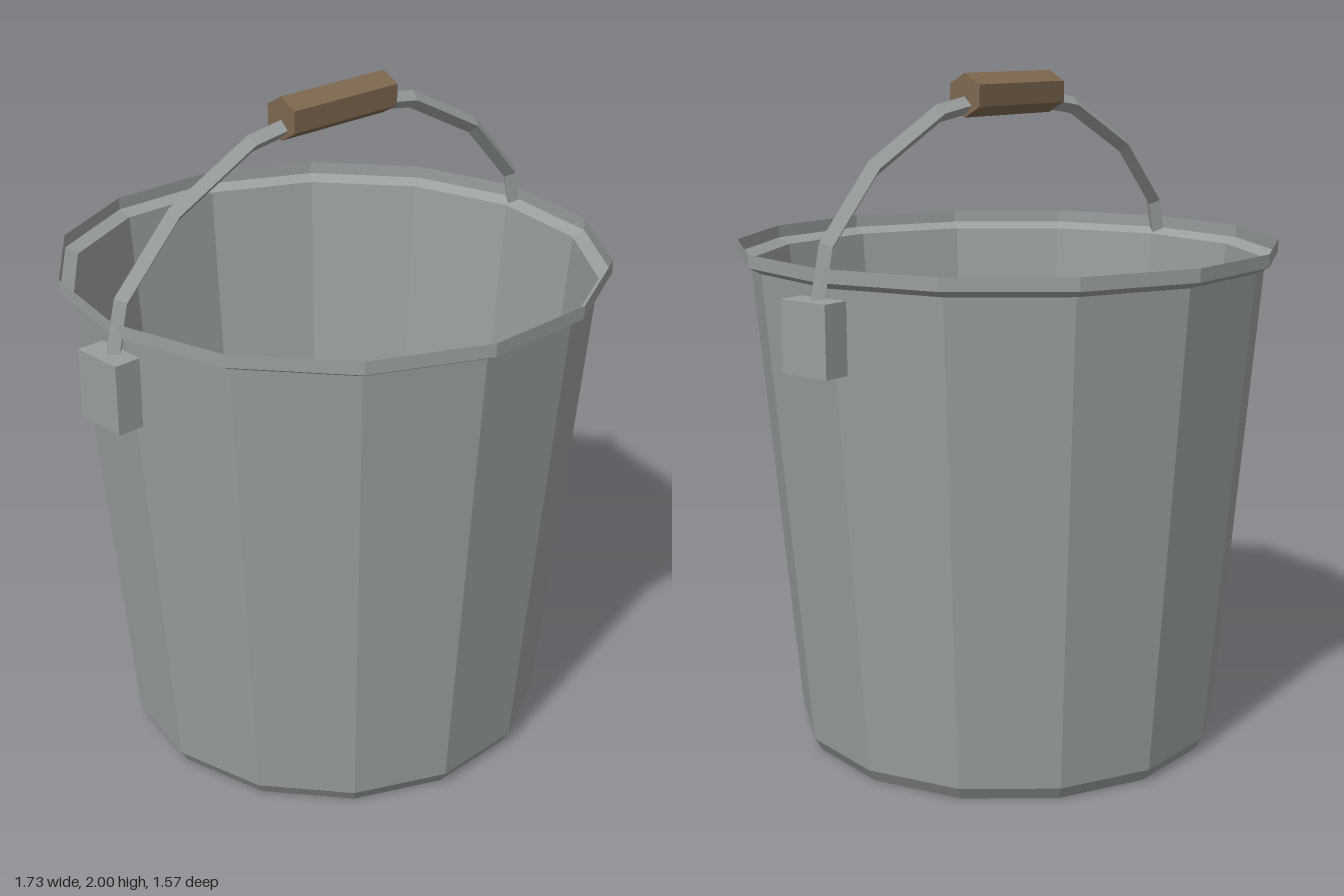
import * as THREE from 'three';

const metal = new THREE.MeshStandardMaterial({ color: 0x9a9e9e, flatShading: true, side: THREE.DoubleSide });
metal.name = 'grey metal';
const wood = new THREE.MeshStandardMaterial({ color: 0x7f6850, flatShading: true });
wood.name = 'brown wood';

// Straight-segment curve through the points, sampled exactly at its corners
class Polyline extends THREE.Curve {
  constructor(points) {
    super();
    this.points = points;
  }
  getPoint(t, target = new THREE.Vector3()) {
    const n = this.points.length - 1;
    const i = Math.min(Math.floor(t * n + 1e-9), n - 1);
    return target.lerpVectors(this.points[i], this.points[i + 1], t * n - i);
  }
  getPointAt(u, target) { return this.getPoint(u, target); }
  getTangentAt(u, target) { return this.getTangent(u, target); }
}

export function createModel() {
  const model = new THREE.Group();
  model.name = 'bucket';
  const add = (name, geometry, material) => {
    const mesh = new THREE.Mesh(geometry, material);
    mesh.name = name;
    model.add(mesh);
    return mesh;
  };

  // Thin tapered shell: floor, bevelled foot, wall and flared rim
  const profile = [[0, 0], [0.62, 0], [0.645, 0.04], [0.768, 1.453], [0.805, 1.472], [0.805, 1.51]]
    .map(([r, y]) => new THREE.Vector2(r, y));
  add('bucketShell', new THREE.LatheGeometry(profile, 14, Math.PI / 2), metal);

  // Side brackets that hold the handle
  for (const [name, side] of [['leftBracket', 1], ['rightBracket', -1]]) {
    add(name, new THREE.BoxGeometry(0.08, 0.2, 0.16), metal).position.set(side * 0.825, 1.33, 0);
  }

  // Wire handle, mirrored about the middle
  const half = [[0.825, 1.36], [0.775, 1.565], [0.588, 1.757], [0.315, 1.892]];
  const path = [
    ...half.map(([x, y]) => new THREE.Vector3(-x, y, 0)),
    new THREE.Vector3(0, 1.9375, 0),
    ...half.map(([x, y]) => new THREE.Vector3(x, y, 0)).reverse(),
  ];
  add('wireHandle', new THREE.TubeGeometry(new Polyline(path), path.length - 1, 0.026, 4), metal);

  // Six-sided grip with a corner on top
  const grip = new THREE.CylinderGeometry(0.0625, 0.0625, 0.4, 6, 1, false, Math.PI / 2);
  grip.rotateZ(Math.PI / 2);
  add('handleGrip', grip, wood).position.y = 1.9375;

  return model;
}
